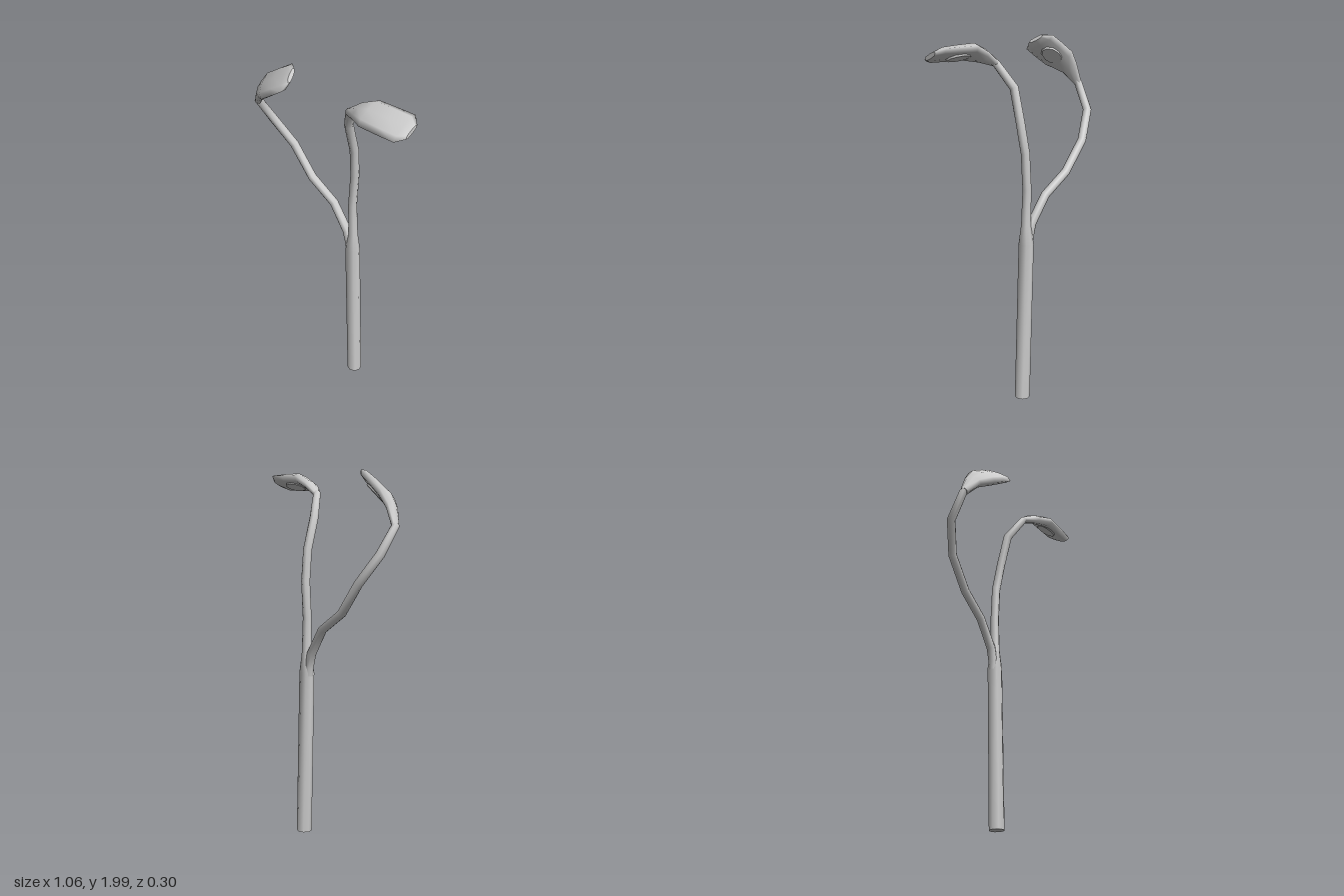
import * as THREE from 'three';

const SIDES = 8;
const v = (a) => new THREE.Vector3(a[0], a[1], a[2]);
const material = new THREE.MeshStandardMaterial({ color: 0xcccccc });

// Skin a list of closed rings (counterclockwise about the path) and cap both ends
function loft(name, rings) {
  const pos = [], index = [], n = rings[0].length;
  rings.forEach((ring) => ring.forEach((p) => pos.push(p.x, p.y, p.z)));
  for (let i = 0; i < rings.length - 1; i++) {
    for (let j = 0; j < n; j++) {
      const k = (j + 1) % n, a = i * n + j, b = i * n + k;
      index.push(a, b, b + n, a, b + n, a + n);
    }
  }
  [[rings[0], true], [rings[rings.length - 1], false]].forEach(([ring, flip]) => {
    const start = pos.length / 3;
    ring.forEach((p) => pos.push(p.x, p.y, p.z));
    for (let j = 1; j < n - 1; j++) {
      if (flip) index.push(start, start + j + 1, start + j);
      else index.push(start, start + j, start + j + 1);
    }
  });
  const geometry = new THREE.BufferGeometry();
  geometry.setAttribute('position', new THREE.Float32BufferAttribute(pos, 3));
  geometry.setIndex(index);
  geometry.computeVertexNormals();
  const mesh = new THREE.Mesh(geometry, material);
  mesh.name = name;
  return mesh;
}

// One ring from a centre and two half-axes; power < 1 flattens top and bottom
function ring(center, u, w, power = 1) {
  return Array.from({ length: SIDES }, (_, j) => {
    const a = (j / SIDES) * Math.PI * 2, s = Math.sin(a);
    return center.clone().addScaledVector(u, Math.cos(a))
      .addScaledVector(w, Math.sign(s) * Math.abs(s) ** power);
  });
}

// Bent pipe through points [x, y, z, radius]
function pipe(name, points) {
  const pts = points.map(v);
  const rings = pts.map((p, i) => {
    const t = new THREE.Vector3();
    if (i > 0) t.add(p.clone().sub(pts[i - 1]).normalize());
    if (i < pts.length - 1) t.add(pts[i + 1].clone().sub(p).normalize());
    t.normalize();
    const w = t.clone().cross(new THREE.Vector3(0, 0, 1)).normalize(); // sideways
    const u = w.clone().cross(t).normalize();
    const r = points[i][3];
    return ring(p, u.multiplyScalar(r), w.multiplyScalar(r));
  });
  return loft(name, rings);
}

// Flattened lamp head: sections [x, y, z, half width, half thickness]
function lampHead(name, axis, across, sections, lensAt) {
  const t = v(axis).normalize();
  const n = v(across).cross(t).negate().normalize();
  if (n.y < 0) n.negate();
  const w = n.clone().cross(t).normalize();
  const group = new THREE.Group();
  group.name = name;
  group.add(loft(name + 'Shell', sections.map((s, i) =>
    ring(v(s), w.clone().multiplyScalar(s[3]), n.clone().multiplyScalar(s[4]), i ? 0.6 : 1))));

  // Oval lens set into the underside
  const lens = new THREE.CylinderGeometry(1, 0.85, 1, 10);
  const basis = new THREE.Matrix4().makeBasis(
    t.clone().multiplyScalar(0.085),
    n.clone().multiplyScalar(0.02),
    w.clone().multiplyScalar(-0.052));
  basis.setPosition(v(lensAt).addScaledVector(n, -0.022));
  lens.applyMatrix4(basis);
  const mesh = new THREE.Mesh(lens, material);
  mesh.name = name + 'Lens';
  group.add(mesh);
  return group;
}

export function createModel() {
  const model = new THREE.Group();
  model.name = 'twinStreetLamp';

  // Leaning pole that narrows into the tall arm
  model.add(pipe('poleAndTallArm', [
    [0.07, 0, -0.11, 0.042], [0.042, 0.9, -0.11, 0.041], [0.044, 1.01, -0.11, 0.026],
    [0.037, 1.2, -0.11, 0.024], [0.05, 1.4, -0.11, 0.024], [0.064, 1.57, -0.085, 0.024],
    [0.064, 1.74, -0.04, 0.024], [0.127, 1.868, 0.03, 0.022], [0.2, 1.905, 0.05, 0.014],
  ]));

  // Side arm branching from the top of the pole
  model.add(pipe('sideArm', [
    [0.026, 0.86, -0.11, 0.022], [0.022, 0.93, -0.11, 0.025], [0.0, 1.01, -0.11, 0.025],
    [-0.1, 1.15, -0.115, 0.024], [-0.26, 1.25, -0.115, 0.024], [-0.39, 1.41, -0.115, 0.024],
    [-0.492, 1.56, -0.06, 0.024], [-0.508, 1.7, 0.025, 0.022], [-0.455, 1.785, 0.045, 0.014],
  ]));

  // Heads, both rolled so their undersides face down and back
  model.add(lampHead('leftHead', [1, 0, 0], [0, 0.038, -0.08], [
    [0.125, 1.868, 0.03, 0.022, 0.022], [0.2, 1.908, 0.05, 0.055, 0.027],
    [0.28, 1.934, 0.068, 0.086, 0.03], [0.4, 1.935, 0.07, 0.088, 0.026],
    [0.49, 1.935, 0.07, 0.088, 0.022], [0.53, 1.932, 0.07, 0.046, 0.012],
  ], [0.355, 1.934, 0.07]));

  model.add(lampHead('rightHead', [0.15, 0.105, 0], [-0.025, 0.045, -0.075], [
    [-0.508, 1.7, 0.027, 0.022, 0.022], [-0.455, 1.79, 0.05, 0.052, 0.027],
    [-0.395, 1.843, 0.07, 0.088, 0.03], [-0.31, 1.9, 0.075, 0.09, 0.026],
    [-0.245, 1.942, 0.075, 0.088, 0.022], [-0.215, 1.963, 0.075, 0.046, 0.012],
  ], [-0.335, 1.883, 0.073]));

  return model;
}
